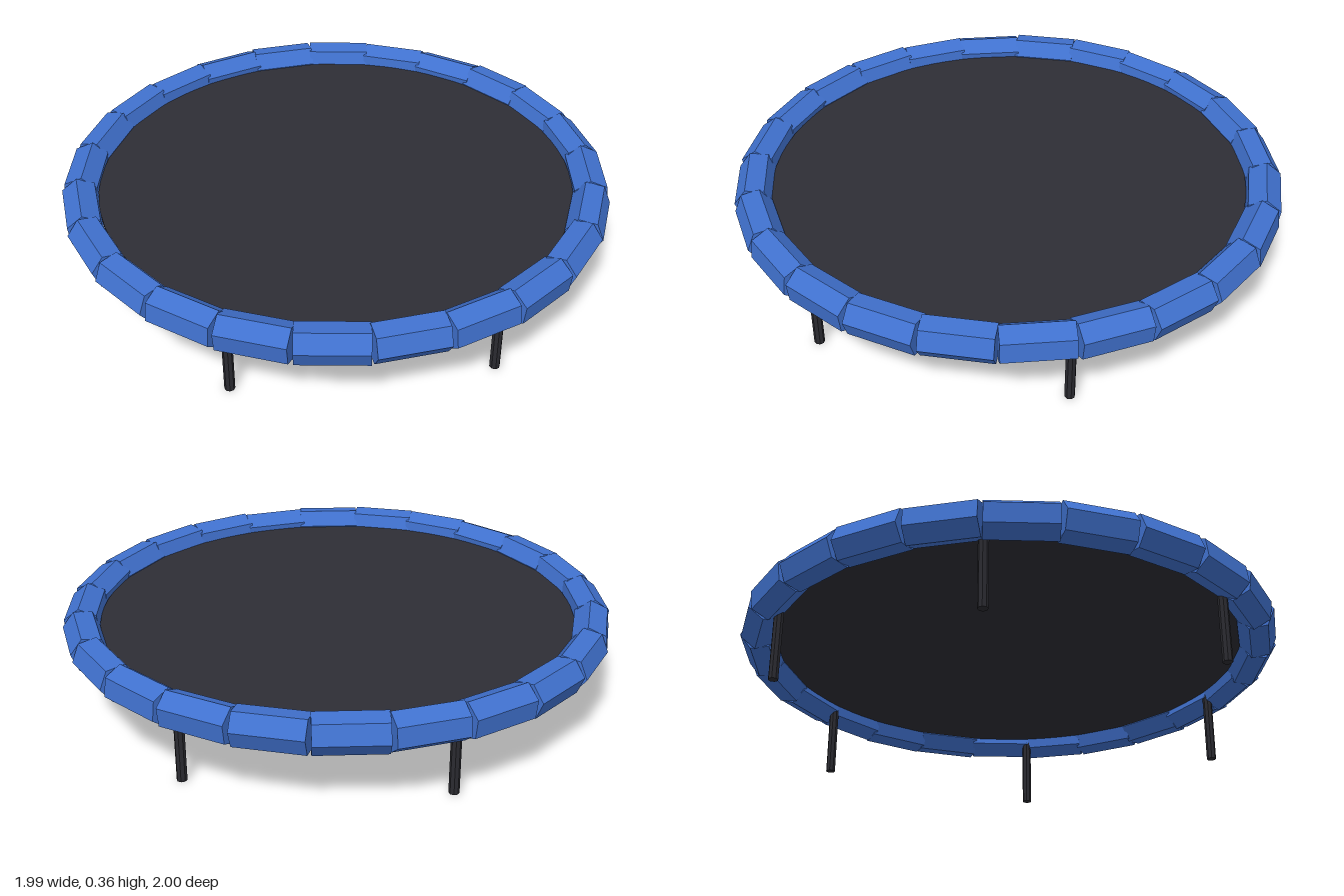
import * as THREE from 'three';

const RIM_Y = 0.289;

export function createModel() {
  const model = new THREE.Group();
  const padBlue = new THREE.MeshStandardMaterial({ color: 0x4071ce, flatShading: true });
  const matCharcoal = new THREE.MeshStandardMaterial({ color: 0x2d2d35 });
  const legDark = new THREE.MeshStandardMaterial({ color: 0x2a2a30, flatShading: true });

  const add = (name, geometry, material, x, y, z) => {
    const mesh = new THREE.Mesh(geometry, material);
    mesh.name = name;
    mesh.position.set(x, y, z);
    model.add(mesh);
    return mesh;
  };

  // Padded rim: straight six-sided tubes, each turned from upright to lie along the circle
  const padCount = 24, padRadius = 0.925;
  const padGeometry = new THREE.CylinderGeometry(0.068, 0.068, 0.242, 6);
  const up = new THREE.Vector3(0, 1, 0);
  for (let i = 0; i < padCount; i++) {
    const a = ((i + 0.5) / padCount) * Math.PI * 2;
    const pad = add('rimPad', padGeometry, padBlue, Math.cos(a) * padRadius, RIM_Y, Math.sin(a) * padRadius);
    pad.quaternion.setFromUnitVectors(up, new THREE.Vector3(-Math.sin(a), 0, Math.cos(a)));
  }

  // Jumping mat: thin disc stretched across the middle of the rim
  add('jumpingMat', new THREE.CylinderGeometry(0.868, 0.868, 0.01, 48), matCharcoal, 0, RIM_Y, 0);

  // Six legs
  const legHeight = 0.27, legRadius = 0.888;
  const legGeometry = new THREE.CylinderGeometry(0.018, 0.018, legHeight, 8);
  for (let i = 0; i < 6; i++) {
    const a = (i / 6) * Math.PI * 2;
    add('leg', legGeometry, legDark, Math.cos(a) * legRadius, legHeight / 2, Math.sin(a) * legRadius);
  }

  return model;
}
